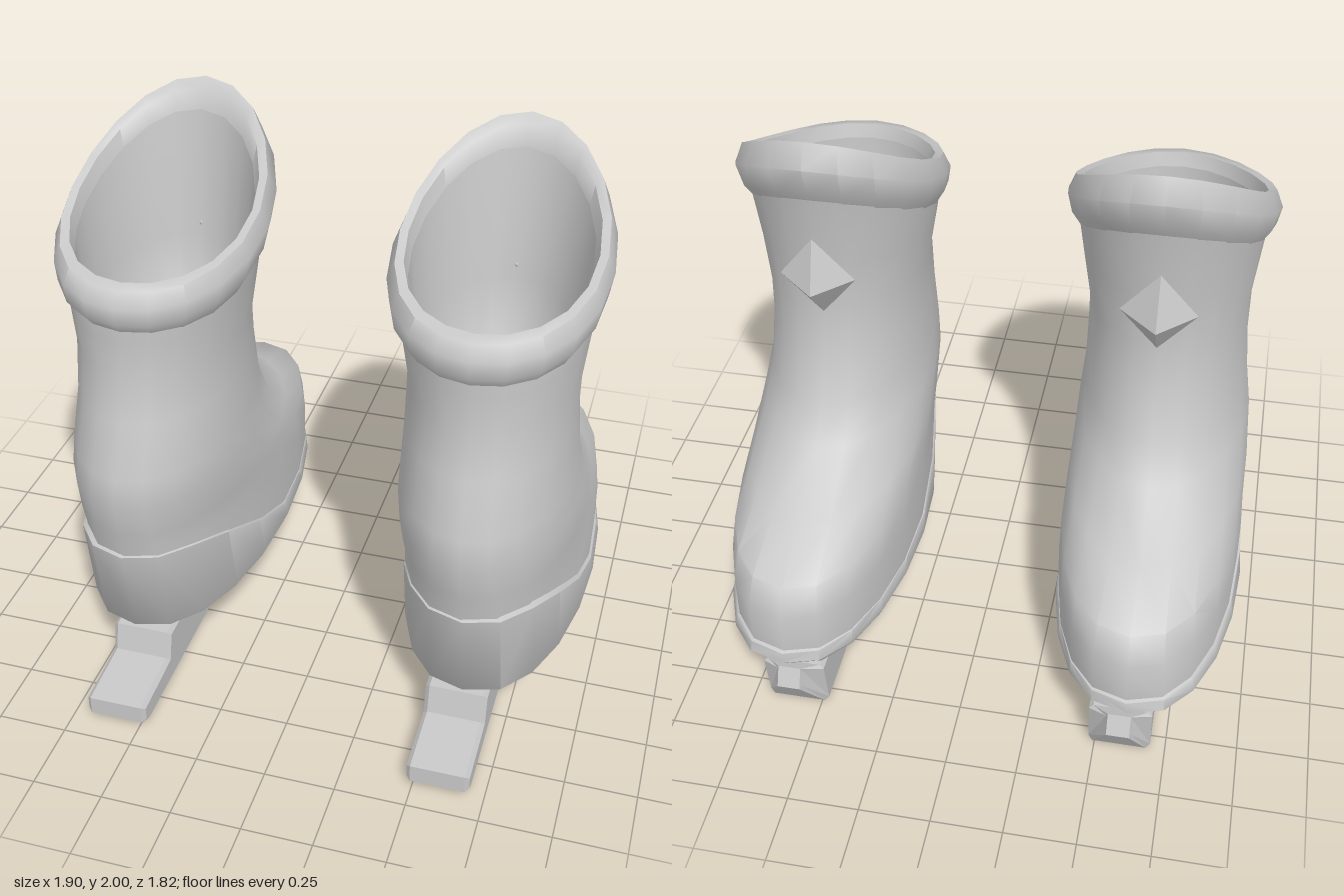
import * as THREE from 'three';
import { toCreasedNormals } from 'three/addons/utils/BufferGeometryUtils.js';

const SEGMENTS = 20;
const smooth = (a, b, u) => THREE.MathUtils.smoothstep(u, a, b);

// How height runs from the heel (u = 0) to the toe (u = 1) of a ring
const straight = u => u;
const swoop = u => 0.25 * u + 0.75 * u * u;
const wedge = u => smooth(0.03, 0.58, u);

// Skin over rings: [heel z, heel y, toe z, toe y, centre x, half width, curve, roundness]
function loft(rings, side) {
  const positions = [], index = [];
  for (const [hz, hy, tz, ty, cx, hw, curve = straight, power = 1] of rings) {
    for (let j = 0; j < SEGMENTS; j++) {
      const t = (j / SEGMENTS) * Math.PI * 2;
      const s = Math.sin(t), u = (1 - Math.cos(t)) / 2;
      const x = cx + hw * Math.sign(s) * Math.abs(s) ** power;
      positions.push(side * x, hy + (ty - hy) * curve(u), hz + (tz - hz) * u);
    }
  }
  for (let i = 0; i < rings.length - 1; i++) {
    for (let j = 0; j < SEGMENTS; j++) {
      const k = (j + 1) % SEGMENTS;
      const a = i * SEGMENTS + j, b = i * SEGMENTS + k;
      const c = b + SEGMENTS, d = a + SEGMENTS;
      if (side > 0) index.push(a, b, c, a, c, d);
      else index.push(a, c, b, a, d, c);
    }
  }
  const geometry = new THREE.BufferGeometry();
  geometry.setAttribute('position', new THREE.Float32BufferAttribute(positions, 3));
  geometry.setIndex(index);
  return toCreasedNormals(geometry, 0.9);
}

const SOLE = [
  [-0.1, 0.21, -0.1, 0.21, 0.61, 0],
  [0.62, 0.21, -0.84, 0.21, 0.61, 0.325, straight, 0.85],
  [0.64, 0.225, -0.885, 0.26, 0.61, 0.34, straight, 0.85],
  [0.71, 0.59, -0.878, 0.3, 0.607, 0.334, wedge, 0.85],
  [0.67, 0.6, -0.85, 0.31, 0.605, 0.315, wedge, 0.85],
];

const BOOT = [
  [0.64, 0.29, -0.865, 0.29, 0.605, 0.327, straight, 0.85],
  [0.675, 0.45, -0.873, 0.47, 0.603, 0.328, straight, 0.85],
  [0.70, 0.6, -0.83, 0.575, 0.60, 0.324, straight, 0.88],
  [0.72, 0.7, -0.6, 0.66, 0.60, 0.322, straight, 0.95],
  [0.745, 0.83, -0.36, 0.82, 0.595, 0.314],
  [0.735, 0.94, -0.27, 0.95, 0.59, 0.298],
  [0.66, 1.12, -0.21, 1.15, 0.585, 0.287],
  [0.62, 1.3, -0.19, 1.3, 0.585, 0.286],
  [0.62, 1.42, -0.2, 1.5, 0.58, 0.308],
  [0.62, 1.52, -0.25, 1.78, 0.577, 0.325, swoop],
];

const COLLAR = [
  [0.61, 1.45, -0.21, 1.72, 0.577, 0.315, swoop],
  [0.65, 1.5, -0.27, 1.81, 0.577, 0.35, swoop],
  [0.65, 1.56, -0.305, 1.92, 0.577, 0.363, swoop],
  [0.62, 1.61, -0.26, 2.0, 0.577, 0.338, swoop],
  [0.575, 1.62, -0.22, 1.97, 0.577, 0.31, swoop],
  [0.56, 1.57, -0.2, 1.9, 0.577, 0.295, swoop],
];

const LINING = [
  [0.56, 1.57, -0.2, 1.9, 0.577, 0.295, swoop],
  [0.55, 1.3, -0.13, 1.45, 0.58, 0.26],
  [0.5, 1.1, -0.1, 1.12, 0.58, 0.22],
  [0.36, 0.98, 0.04, 0.98, 0.58, 0.12],
  [0.2, 0.95, 0.2, 0.95, 0.58, 0],
];

// Runner profile as [z, y], extruded across x and narrowed at the toe
function runnerGeometry() {
  const profile = [[0.895, 0.03], [0.87, 0.015], [-0.8, 0.015], [-0.89, 0.16],
    [-0.868, 0.212], [-0.83, 0.195], [0.625, 0.195], [0.65, 0.095], [0.895, 0.077]];
  const shape = new THREE.Shape(profile.map(([z, y]) => new THREE.Vector2(-z, y)));
  const geometry = new THREE.ExtrudeGeometry(shape, {
    depth: 0.19, steps: 1, bevelEnabled: true, bevelThickness: 0.015, bevelSize: 0.015, bevelSegments: 1,
  });
  geometry.translate(0, 0, -0.095).rotateY(Math.PI / 2);
  const p = geometry.attributes.position;
  for (let i = 0; i < p.count; i++) {
    if (p.getZ(i) < -0.845) p.setX(i, p.getX(i) * 0.42);
  }
  geometry.computeVertexNormals();
  return geometry;
}

export function createModel() {
  const grey = new THREE.MeshStandardMaterial({ color: 0xc8c8c8 });
  grey.name = 'light grey';

  const model = new THREE.Group();
  model.name = 'iceSkates';

  for (const side of [1, -1]) {
    const skate = new THREE.Group();
    skate.name = side > 0 ? 'leftSkate' : 'rightSkate';
    const add = (name, geometry) => {
      const mesh = new THREE.Mesh(geometry, grey);
      mesh.name = name;
      skate.add(mesh);
      return mesh;
    };

    add('sole', loft(SOLE, side));
    add('boot', loft(BOOT, side));
    add('collar', loft(COLLAR, side));
    add('lining', loft(LINING, side));
    add('runner', runnerGeometry()).position.x = side * 0.587;

    // Diamond stud on the shin, leaning with the shaft
    const stud = add('diamondStud', new THREE.OctahedronGeometry(1).scale(0.13, 0.172, 0.1));
    stud.position.set(side * 0.577, 1.47, -0.228);
    stud.rotation.x = -0.2;

    model.add(skate);
  }
  return model;
}
